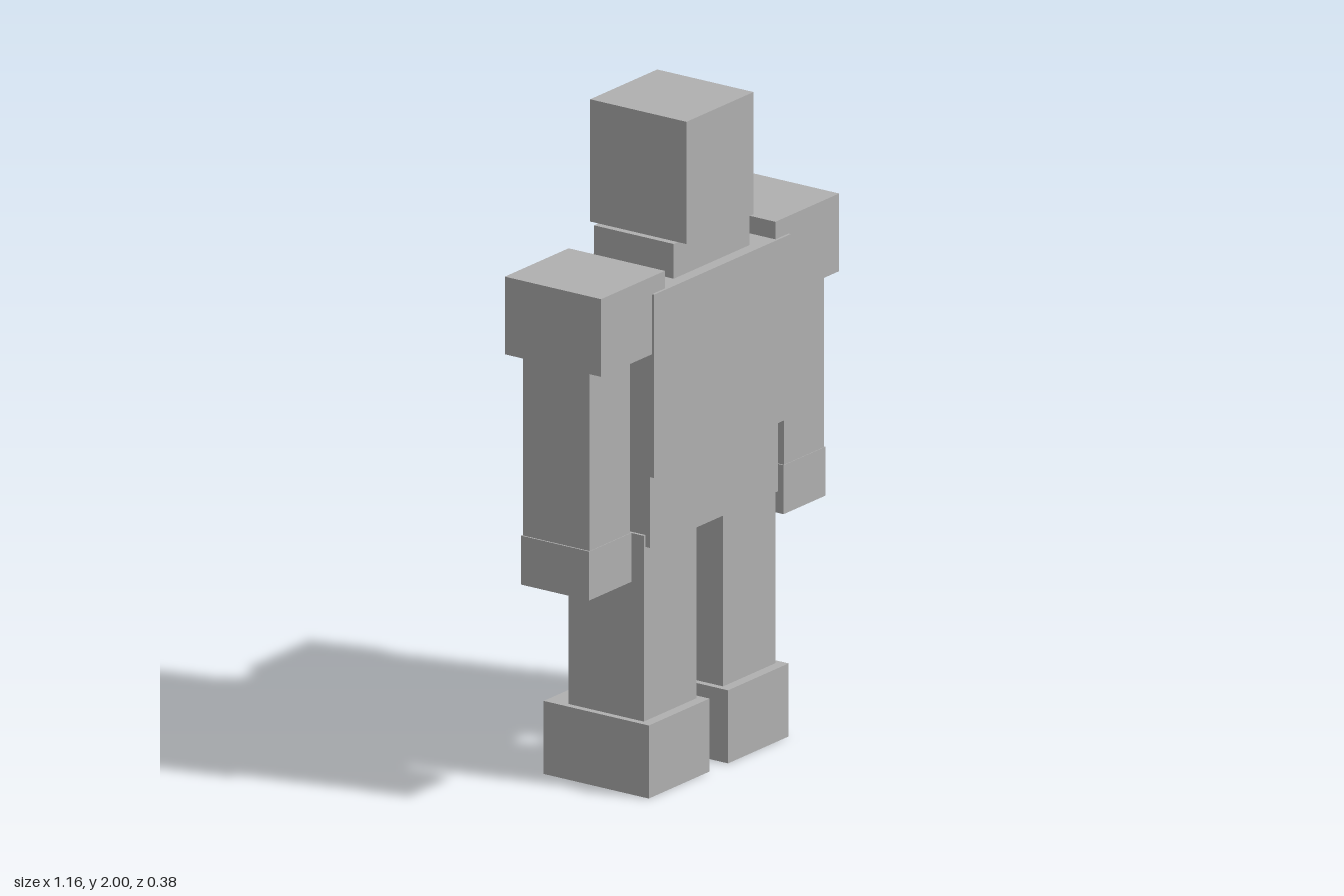
import * as THREE from 'three';

export function createModel() {
  const model = new THREE.Group();
  model.name = 'blockFigure';
  const grey = new THREE.MeshStandardMaterial({ color: 0xb0b0b0 });
  grey.name = 'plainGrey';

  // Box given by its extents along x, y and z
  function block(name, [x0, x1], [y0, y1], [z0, z1]) {
    const mesh = new THREE.Mesh(new THREE.BoxGeometry(x1 - x0, y1 - y0, z1 - z0), grey);
    mesh.position.set((x0 + x1) / 2, (y0 + y1) / 2, (z0 + z1) / 2);
    mesh.name = name;
    model.add(mesh);
  }

  // Mirrored pair of blocks; the left one lies on +x
  function pair(name, [x0, x1], y, z) {
    block('left' + name, [x0, x1], y, z);
    block('right' + name, [-x1, -x0], y, z);
  }

  // Head and body
  block('head', [-0.164, 0.163], [1.63, 2], [-0.157, 0.184]);
  block('neck', [-0.185, 0.185], [1.5, 1.63], [-0.128, 0.154]);
  block('torso', [-0.333, 0.333], [0.97, 1.525], [-0.163, 0.192]);
  block('hips', [-0.312, 0.31], [0.747, 0.97], [-0.135, 0.163]);

  // Arms
  pair('Shoulder', [0.269, 0.58], [1.343, 1.578], [-0.157, 0.184]);
  pair('Arm', [0.375, 0.571], [0.8, 1.343], [-0.1, 0.137]);
  pair('Hand', [0.371, 0.576], [0.656, 0.804], [-0.103, 0.139]);

  // Legs
  pair('Leg', [0.065, 0.321], [0.22, 0.783], [-0.119, 0.147]);
  pair('Foot', [0.045, 0.341], [0, 0.221], [-0.193, 0.179]);

  return model;
}
